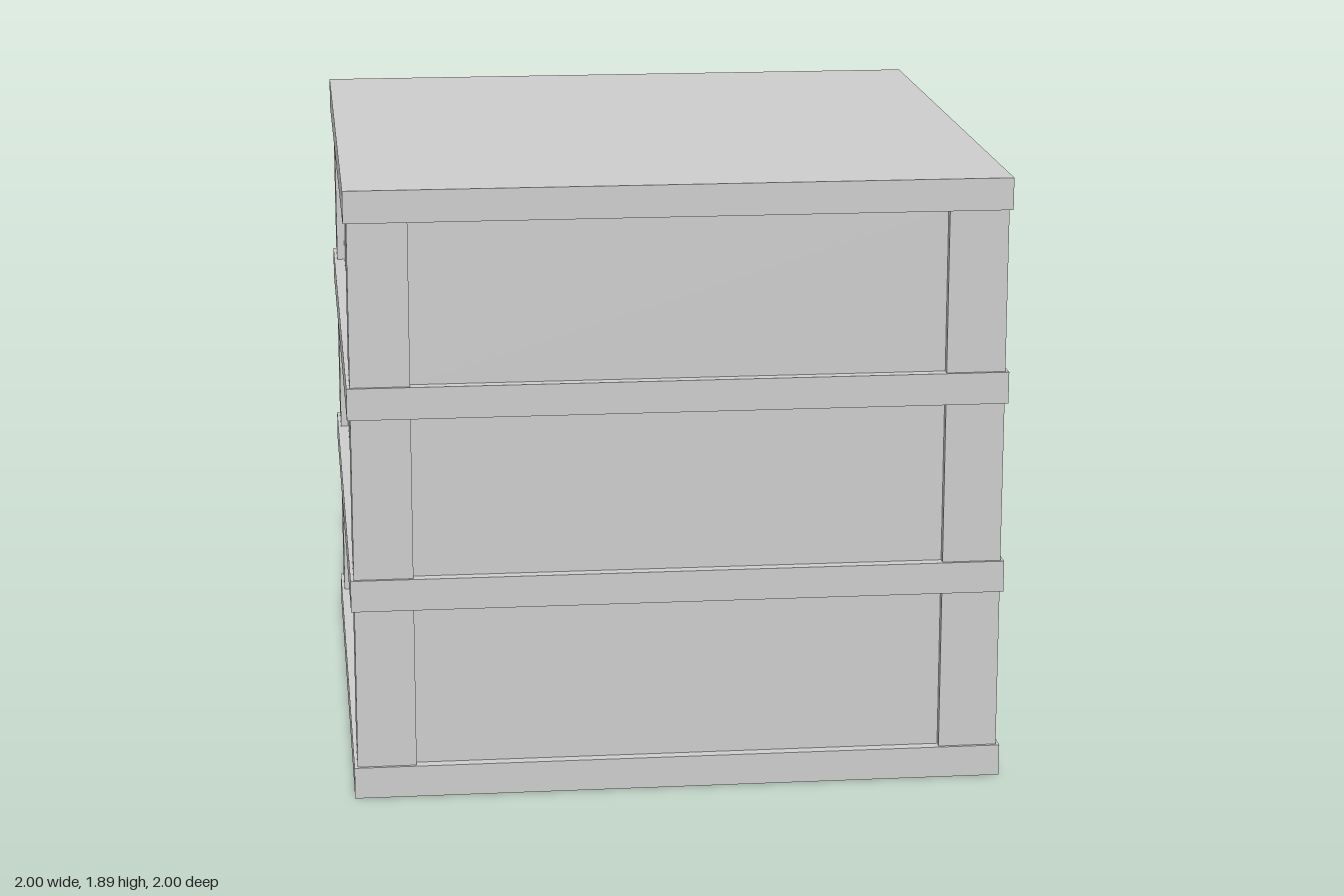
import * as THREE from 'three';

const STOREYS = 3;
const PITCH = 0.598;   // slab to slab
const SLAB = 0.098;    // slab thickness
const POST = 0.18;     // corner post width
const POST_FACE = 0.99;
const WALL_FACE = 0.965;
const WALL = 0.06;

const material = new THREE.MeshStandardMaterial({ color: 0xcccccc });

function addBox(parent, name, size, position) {
  const mesh = new THREE.Mesh(new THREE.BoxGeometry(...size), material);
  mesh.name = name;
  mesh.position.set(...position);
  parent.add(mesh);
  return mesh;
}

// One storey: four corner posts with recessed walls between them
function createStorey() {
  const storey = new THREE.Group();
  storey.name = 'storey';
  const height = PITCH - SLAB;
  const y = SLAB + height / 2;
  const postCentre = POST_FACE - POST / 2;
  const wallLength = 2 * (POST_FACE - POST);

  for (let i = 0; i < 4; i++) {
    const side = new THREE.Group();
    side.name = 'side';
    side.rotation.y = i * Math.PI / 2;
    addBox(side, 'cornerPost', [POST, height, POST], [postCentre, y, postCentre]);
    addBox(side, 'wall', [wallLength, height, WALL], [0, y, WALL_FACE - WALL / 2]);
    storey.add(side);
  }
  return storey;
}

export function createModel() {
  const building = new THREE.Group();
  building.name = 'building';

  // Floor slabs and roof, slightly overhanging the posts
  for (let i = 0; i <= STOREYS; i++) {
    const name = i === STOREYS ? 'roofSlab' : 'floorSlab';
    addBox(building, name, [2, SLAB, 2], [0, i * PITCH + SLAB / 2, 0]);
  }

  for (let i = 0; i < STOREYS; i++) {
    const storey = createStorey();
    storey.position.y = i * PITCH;
    building.add(storey);
  }
  return building;
}
